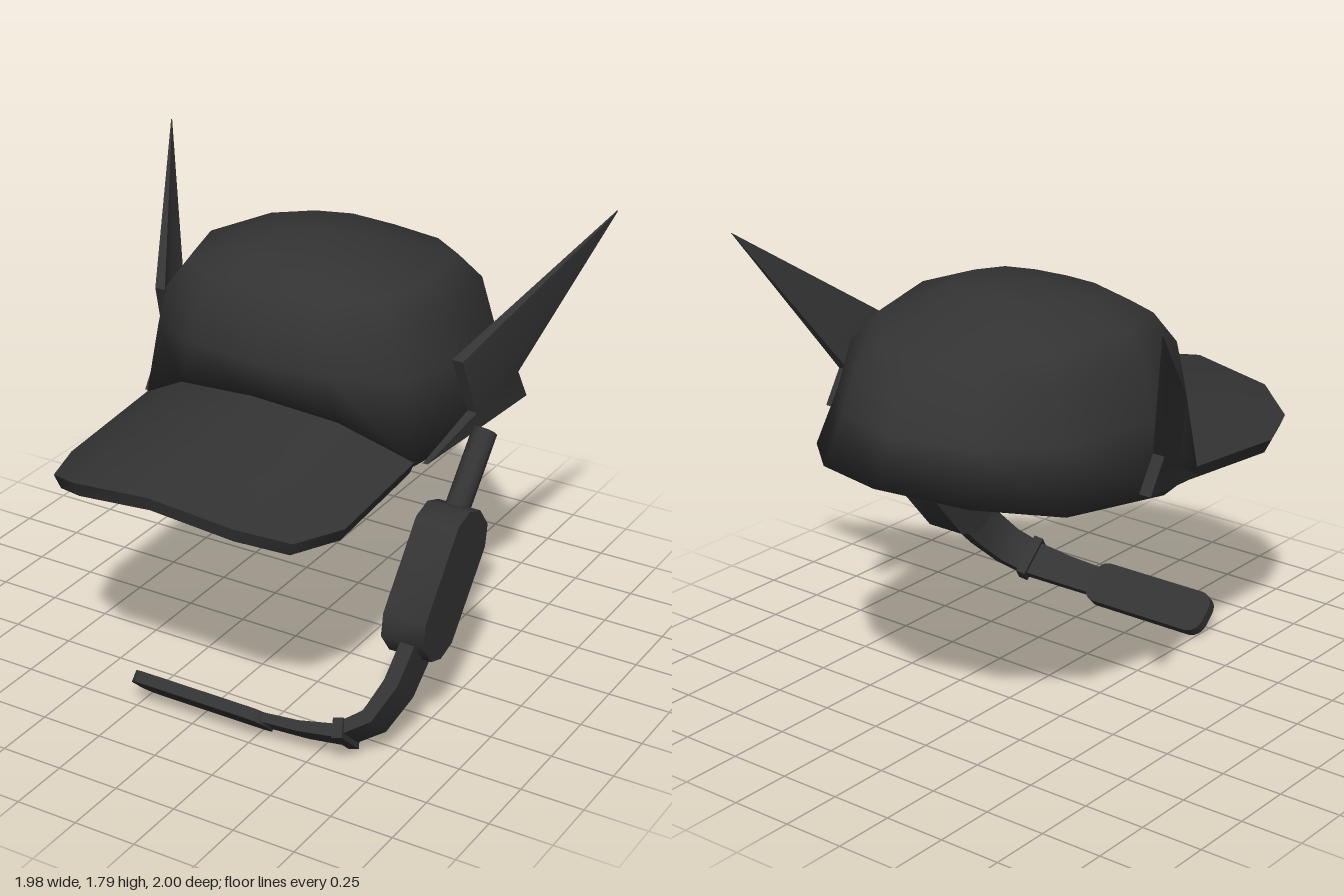
import * as THREE from 'three';
import { mergeVertices, toCreasedNormals } from 'three/addons/utils/BufferGeometryUtils.js';

const material = new THREE.MeshStandardMaterial({ color: 0x333333 });

function part(name, geometry) {
  const mesh = new THREE.Mesh(geometry, material);
  mesh.name = name;
  return mesh;
}

// Skin between rings of [x, y, z] points, closed by a fan from the first point of each end ring.
function loft(rings, smooth = false) {
  const n = rings[0].length;
  const p = rings.flat();
  let faces = [];
  for (let r = 0; r < rings.length - 1; r++) {
    for (let i = 0; i < n; i++) {
      const a = r * n + i, b = r * n + (i + 1) % n;
      faces.push([a, b, b + n], [a, b + n, a + n]);
    }
  }
  const last = (rings.length - 1) * n;
  for (let i = 1; i < n - 1; i++) {
    faces.push([0, i + 1, i], [last, last + i, last + i + 1]);
  }
  // Turn the faces outward by the sign of the enclosed volume
  const v = faces.map(f => f.map(i => new THREE.Vector3(...p[i])));
  const volume = v.reduce((sum, [a, b, c]) => sum + a.dot(b.clone().cross(c)), 0);
  if (volume < 0) faces = faces.map(([a, b, c]) => [a, c, b]);

  let g = new THREE.BufferGeometry();
  g.setAttribute('position', new THREE.Float32BufferAttribute(p.flat(), 3));
  g.setIndex(faces.flat());
  if (smooth) {
    g = mergeVertices(g, 1e-4);
    g.computeVertexNormals();
    return g;
  }
  return toCreasedNormals(g, 0.9);
}

const mirrorX = points => points.map(([x, y, z]) => [-x, y, z]);

// Closed twelve-sided rim, back to front on the left, mirrored on the right
const halfRim = [
  [0, 1.11, -1], [0.34, 1.08, -0.89], [0.59, 1.04, -0.66], [0.68, 1.0, -0.2],
  [0.59, 0.97, 0.14], [0.34, 1.14, 0.27], [0, 1.18, 0.31],
];
const rim = [...halfRim, ...mirrorX(halfRim.slice(1, -1)).reverse()];

function crown() {
  // Rows above the rim: half width, back z, front z, and heights at back, side and front
  const rows = [
    [0.605, -0.92, 0.30, 1.28, 1.26, 1.31],
    [0.56, -0.87, 0.29, 1.39, 1.47, 1.43],
    [0.48, -0.75, 0.21, 1.50, 1.57, 1.55],
    [0.28, -0.42, 0.11, 1.655, 1.645, 1.62],
    [0, -0.15, -0.15, 1.68, 1.68, 1.68],
  ];
  const outer = rows.map(([w, zb, zf, yb, ys, yf]) => rim.map(([x, , z]) => {
    const t = (z + 0.345) / 0.655;
    return [
      x / 0.68 * w,
      ys + (yf - yb) / 2 * t + ((yf + yb) / 2 - ys) * t * t,
      (zb + zf) / 2 + (zf - zb) / 2 * t,
    ];
  }));
  // Underside closes the crown, shaded smoothly round the rim
  const underside = [0, 0.5].map(s => rim.map(([x, y, z]) =>
    [x * s, 1.05 + (y - 1.05) * s, -0.345 + (z + 0.345) * s]));
  return part('crown', loft([...underside, rim, ...outer], true));
}

function brim() {
  // Each column runs from the crown to the front edge
  const half = [
    [[0.59, 0.985, 0.13], [0.59, 0.94, 0.64], [0.51, 0.96, 0.86]],
    [[0.34, 1.14, 0.27], [0.34, 1.08, 0.62], [0.34, 1.02, 0.97]],
  ];
  const middle = [[0, 1.18, 0.31], [0, 1.125, 0.65], [0, 1.065, 1]];
  const columns = [...half, middle, ...half.map(mirrorX).reverse()];
  return part('brim', loft(columns.map(top => {
    const low = top.map(([x, y, z]) => [x * 0.96, y - 0.055, z * 0.985]);
    return [top[1], top[2], low[2], low[1], low[0], top[0]];
  })));
}

function wing(side) {
  // Outline from the front notch round the root and back to the tip; last value is thickness
  const outline = [
    [0.70, 1.10, -0.14, 0.04], [0.625, 0.97, 0.10, 0.02], [0.77, 1.08, -0.41, 0.05],
    [0.77, 1.21, -0.33, 0.05], [0.99, 1.785, -0.66, 0.005], [0.675, 1.33, -0.06, 0.045],
  ];
  return part(side > 0 ? 'leftWing' : 'rightWing', loft([
    outline.map(([x, y, z]) => [side * x, y, z]),
    outline.map(([x, y, z, t]) => [side * (x - t), y, z]),
  ]));
}

function microphone() {
  const group = new THREE.Group();
  group.name = 'microphone';

  // Stem from the cap to the housing
  const from = new THREE.Vector3(0.73, 1.03, -0.15), to = new THREE.Vector3(0.73, 0.77, 0.08);
  const axis = to.clone().sub(from);
  const stem = part('stem', toCreasedNormals(
    new THREE.CylinderGeometry(0.048, 0.048, axis.length(), 10), 0.8));
  stem.position.copy(from).add(to).multiplyScalar(0.5);
  stem.quaternion.setFromUnitVectors(new THREE.Vector3(0, 1, 0), axis.normalize());
  group.add(stem);

  // Housing: slanted slab with rounded ends, outline in z and y
  const slab = [
    [0.14, 0.845], [0.055, 0.815], [-0.01, 0.73], [0.005, 0.64], [0.25, 0.35],
    [0.335, 0.325], [0.41, 0.35], [0.475, 0.44], [0.46, 0.53], [0.225, 0.82],
  ];
  group.add(part('housing', loft([0.65, 0.825].map(x => slab.map(([z, y]) => [x, y, z])))));

  // Boom frame: y across the strip, z down along the arm
  const boom = new THREE.Group();
  boom.name = 'boom';
  boom.position.set(0, 0.43, 0.365);
  boom.rotation.x = 0.82;
  group.add(boom);

  // Arm: flat strip bending inward; x, z, width, thickness
  const path = [
    [0.765, -0.03, 0.175, 0.06], [0.75, 0.22, 0.165, 0.06], [0.705, 0.36, 0.155, 0.055],
    [0.60, 0.445, 0.145, 0.05], [0.45, 0.47, 0.13, 0.04], [0.25, 0.484, 0.12, 0.035],
  ];
  boom.add(part('arm', loft(path.map(([x, z, w, t], i) => {
    const a = path[Math.max(i - 1, 0)], b = path[Math.min(i + 1, path.length - 1)];
    const dir = new THREE.Vector2(b[0] - a[0], b[1] - a[1]).normalize();
    const nx = -dir.y * t / 2, nz = dir.x * t / 2;
    return [
      [x + nx, w / 2, z + nz], [x + nx, -w / 2, z + nz],
      [x - nx, -w / 2, z - nz], [x - nx, w / 2, z - nz],
    ];
  }))));

  // Clip around the arm
  const clip = part('clip', new THREE.BoxGeometry(0.04, 0.175, 0.075));
  clip.position.set(0.615, 0, 0.435);
  clip.rotation.y = 0.3;
  boom.add(clip);

  // Mouthpiece: flat bar with rounded ends
  const x0 = -0.275, x1 = 0.31, h = 0.09, r = 0.06;
  const bar = new THREE.Shape();
  bar.absarc(x1 - r, h - r, r, 0, Math.PI / 2);
  bar.absarc(x0 + r, h - r, r, Math.PI / 2, Math.PI);
  bar.absarc(x0 + r, r - h, r, Math.PI, Math.PI * 1.5);
  bar.absarc(x1 - r, r - h, r, Math.PI * 1.5, Math.PI * 2);
  const mouthpiece = part('mouthpiece', toCreasedNormals(
    new THREE.ExtrudeGeometry(bar, { depth: 0.045, bevelEnabled: false, curveSegments: 3 }), 0.6));
  mouthpiece.position.z = 0.462;
  boom.add(mouthpiece);

  return group;
}

export function createModel() {
  const model = new THREE.Group();
  model.name = 'wingedCap';
  model.add(crown(), brim(), wing(1), wing(-1), microphone());
  return model;
}
